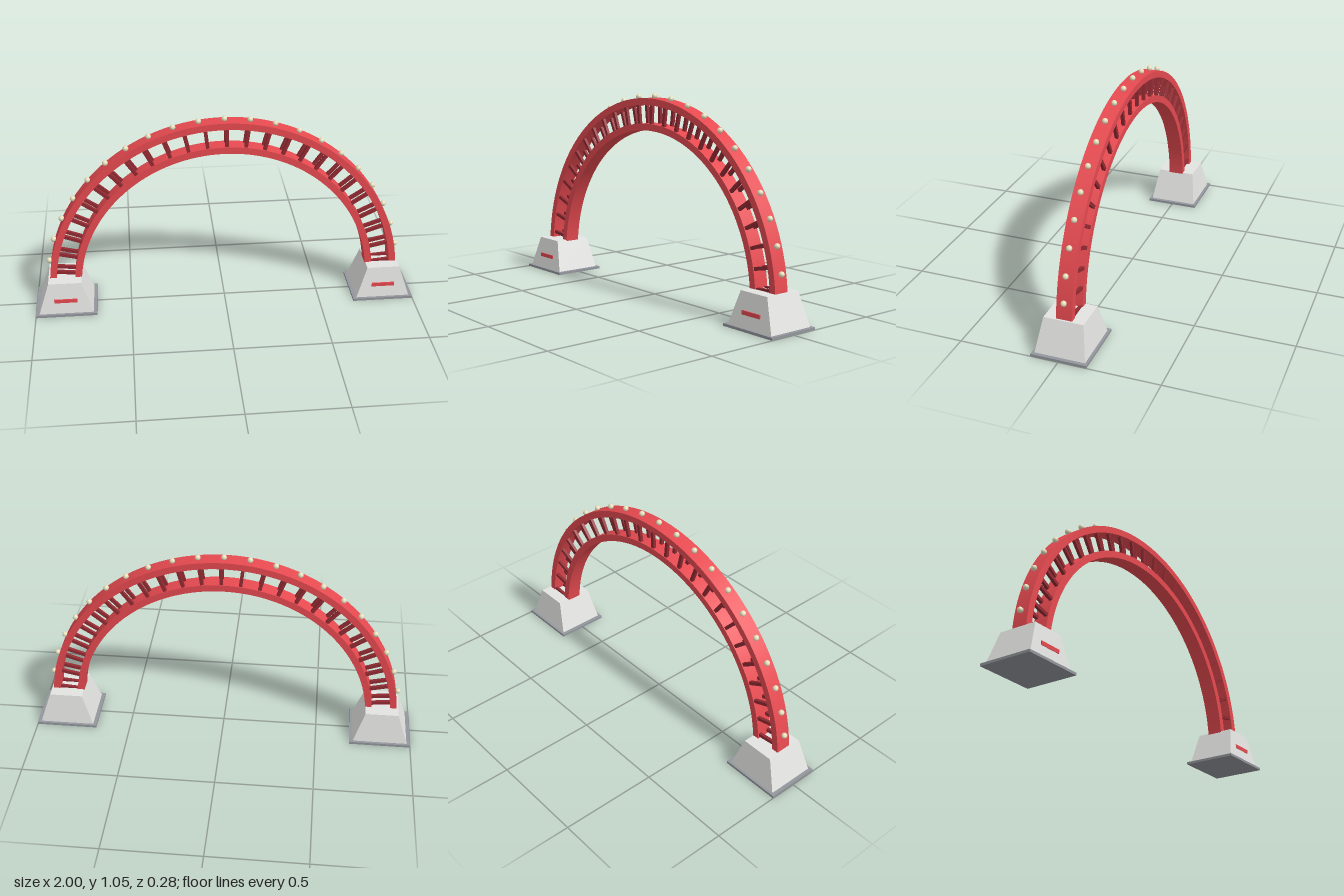
import * as THREE from 'three';
import { toCreasedNormals } from 'three/addons/utils/BufferGeometryUtils.js';

const CENTER_Y = 0.105; // centre of the arch circles

const mat = (name, color) => {
  const m = new THREE.MeshStandardMaterial({ color });
  m.name = name;
  return m;
};

function add(parent, name, geometry, material, x = 0, y = 0, z = 0) {
  const mesh = new THREE.Mesh(geometry, material);
  mesh.name = name;
  mesh.position.set(x, y, z);
  parent.add(mesh);
  return mesh;
}

// Half ring of rectangular section
function archGeometry(outer, inner, depth) {
  const s = new THREE.Shape();
  s.absarc(0, 0, outer, 0, Math.PI, false);
  s.absarc(0, 0, inner, Math.PI, 0, true);
  const g = new THREE.ExtrudeGeometry(s, { depth, bevelEnabled: false, curveSegments: 80 });
  g.translate(0, 0, -depth / 2);
  return toCreasedNormals(g, 0.6);
}

// Box whose top is narrowed in x and z
function taperedBox(w, h, d, topW, topD) {
  const g = new THREE.BoxGeometry(w, h, d);
  const p = g.attributes.position;
  for (let i = 0; i < p.count; i++) {
    if (p.getY(i) > 0) {
      p.setX(i, p.getX(i) * topW / w);
      p.setZ(i, p.getZ(i) * topD / d);
    }
  }
  g.computeVertexNormals();
  return g;
}

export function createModel() {
  const red = mat('arch red', 0xe64a50);
  const darkRed = mat('dark red', 0x932a32);
  const concrete = mat('concrete', 0xe3e4e1);
  const grey = mat('plate grey', 0x93969c);
  const cream = mat('lamp cream', 0xeee6c2);

  const model = new THREE.Group();
  model.name = 'archway';

  // Two concentric arches
  add(model, 'outerArch', archGeometry(0.92, 0.885, 0.08), red, 0, CENTER_Y);
  add(model, 'innerArch', archGeometry(0.79, 0.755, 0.08), red, 0, CENTER_Y);

  // Paired radial rungs joining the arches
  const rungs = new THREE.Group();
  rungs.name = 'rungs';
  model.add(rungs);
  const rungGeo = new THREE.BoxGeometry(0.105, 0.017, 0.016);
  for (let i = 0; i < 25; i++) {
    const a = THREE.MathUtils.degToRad(5.2 + i * 7);
    for (const z of [-0.027, 0.027]) {
      const r = add(rungs, 'rung', rungGeo, darkRed,
        Math.cos(a) * 0.8375, CENTER_Y + Math.sin(a) * 0.8375, z);
      r.rotation.z = a;
    }
  }

  // Faceted lamps along the outer edge
  const lamps = new THREE.Group();
  lamps.name = 'lamps';
  model.add(lamps);
  const lampGeo = new THREE.IcosahedronGeometry(0.015, 1);
  for (let i = 0; i <= 20; i++) {
    const a = THREE.MathUtils.degToRad(10 + i * 8);
    add(lamps, 'lamp', lampGeo, cream, Math.cos(a) * 0.93, CENTER_Y + Math.sin(a) * 0.93, 0);
  }

  // Footings: ground plate, tapered block and a front bar
  for (const side of [-1, 1]) {
    const foot = new THREE.Group();
    foot.name = side > 0 ? 'leftFooting' : 'rightFooting';
    foot.position.x = side * 0.84;
    model.add(foot);
    add(foot, 'groundPlate', new THREE.BoxGeometry(0.32, 0.013, 0.28), grey, 0, 0.0065);
    add(foot, 'block', taperedBox(0.284, 0.168, 0.254, 0.172, 0.2), concrete, 0, 0.095);
    add(foot, 'frontBar', new THREE.BoxGeometry(0.12, 0.02, 0.016), red, 0, 0.083, 0.112);
  }

  return model;
}
